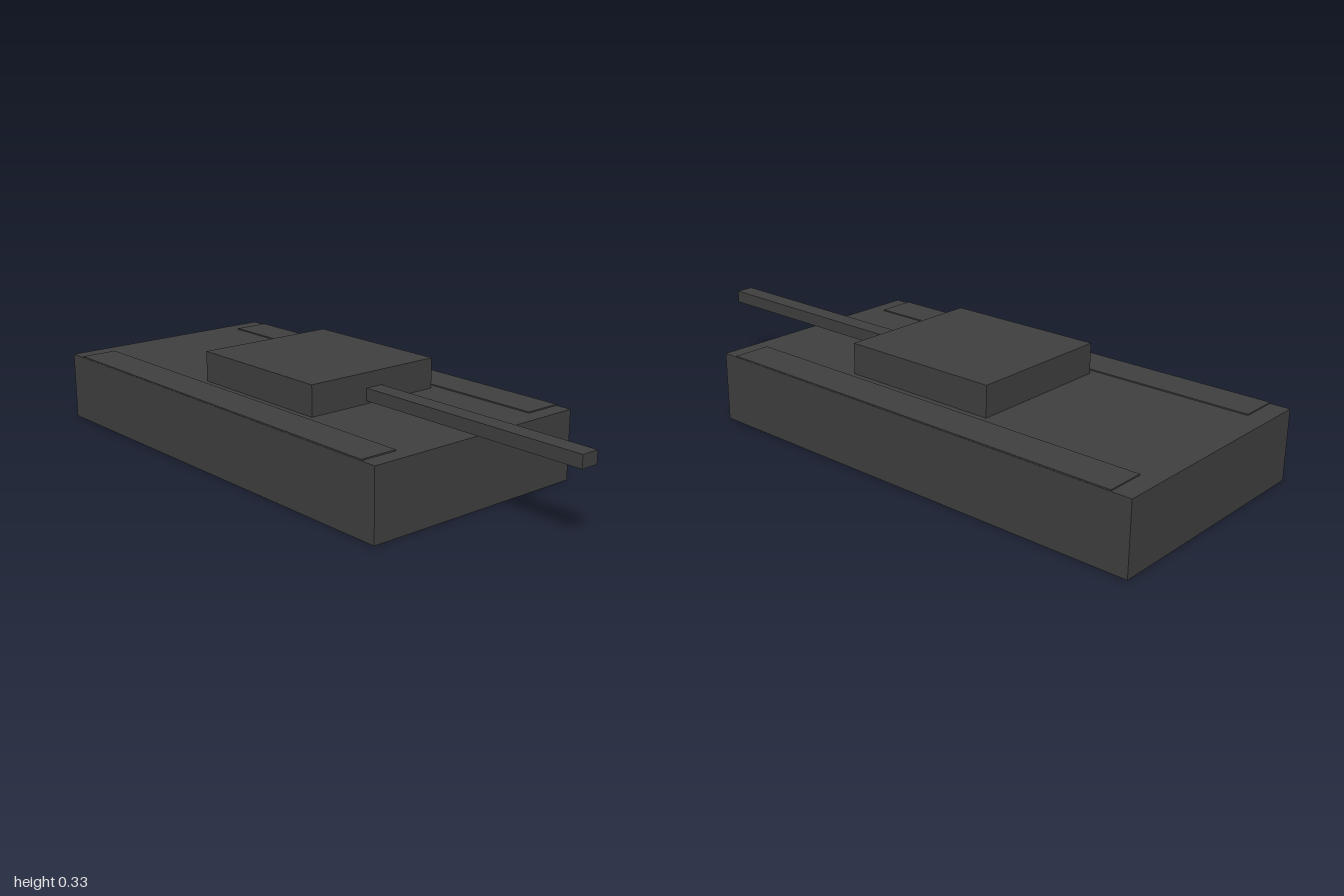
import * as THREE from 'three';

export function createModel() {
  const group = new THREE.Group();
  const material = new THREE.MeshStandardMaterial({ color: 0x404040, flatShading: true });

  // Box given by its [min, max] range along each axis
  function block(name, [x0, x1], [y0, y1], [z0, z1]) {
    const mesh = new THREE.Mesh(new THREE.BoxGeometry(x1 - x0, y1 - y0, z1 - z0), material);
    mesh.position.set((x0 + x1) / 2, (y0 + y1) / 2, (z0 + z1) / 2);
    mesh.name = name;
    group.add(mesh);
  }

  block('hull', [-0.404, 0.404], [0, 0.23], [-1, 0.605]);
  block('turret', [-0.25, 0.25], [0.23, 0.331], [-0.39, 0.155]);
  block('gunBarrel', [-0.031, 0.031], [0.24, 0.281], [0.155, 1]);

  // Tracks sunk into the hull, standing just proud of the deck
  block('leftTrack', [0.275, 0.403], [0.004, 0.234], [-0.935, 0.55]);
  block('rightTrack', [-0.403, -0.275], [0.004, 0.234], [-0.935, 0.55]);

  return group;
}
